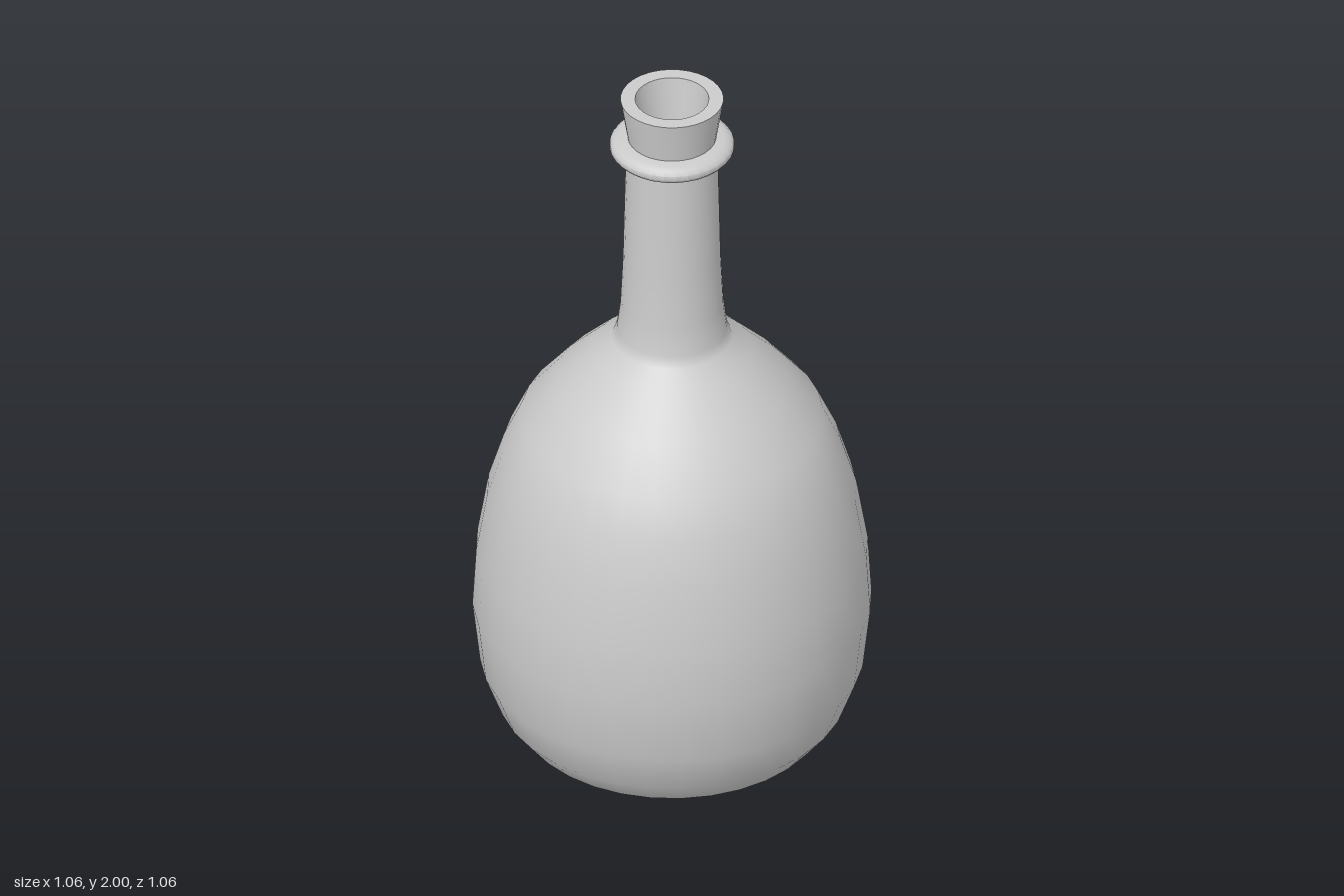
import * as THREE from 'three';
import { toCreasedNormals } from 'three/addons/utils/BufferGeometryUtils.js';

const SIDES = 32;

export function createModel() {
  const bottle = new THREE.Group();
  bottle.name = 'bottle';
  const glass = new THREE.MeshStandardMaterial({ color: 0xcccccc });

  // Turns a profile of [radius, height] points; a crease angle keeps rims sharp
  function turned(name, profile, crease) {
    let geometry = new THREE.LatheGeometry(profile.map(([r, y]) => new THREE.Vector2(r, y)), SIDES);
    if (crease) geometry = toCreasedNormals(geometry, crease);
    const mesh = new THREE.Mesh(geometry, glass);
    mesh.name = name;
    bottle.add(mesh);
  }

  // Belly, shoulder and neck in one smooth sweep from the base up
  turned('body', [
    [0, 0], [0.28, 0.005], [0.37, 0.01], [0.41, 0.03], [0.465, 0.1], [0.51, 0.22],
    [0.53, 0.4], [0.52, 0.57], [0.49, 0.75], [0.45, 0.88], [0.4, 0.99],
    [0.31, 1.1], [0.21, 1.2], [0.16, 1.24], [0.147, 1.27], [0.137, 1.35],
    [0.13, 1.5], [0.126, 1.68], [0.122, 1.84],
  ]);

  // Rounded collar around the top of the neck
  turned('collar', [
    [0.11, 1.83], [0.14, 1.83], [0.156, 1.836], [0.165, 1.847], [0.165, 1.861],
    [0.156, 1.872], [0.14, 1.878], [0.11, 1.88],
  ], 0.7);

  // Flared mouth with a flat rim and a tapering bore closed by a floor
  turned('mouth', [
    [0.116, 1.87], [0.137, 2], [0.098, 2], [0.08, 1.87], [0, 1.87],
  ], 0.7);

  return bottle;
}
